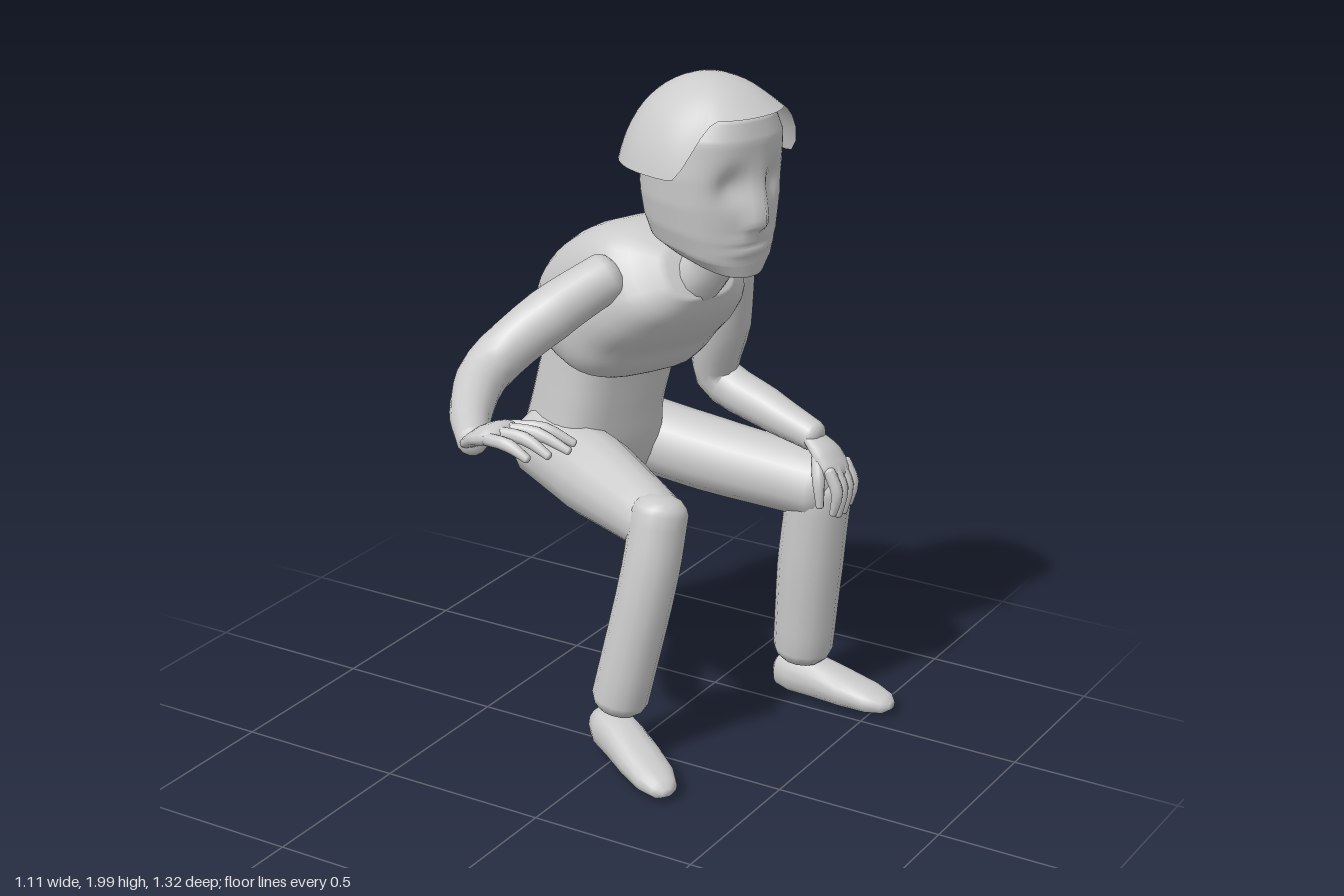
import * as THREE from 'three';

const V = (x, y, z) => new THREE.Vector3(x, y, z);
const material = new THREE.MeshStandardMaterial({ color: 0xcccccc });
const openMaterial = new THREE.MeshStandardMaterial({ color: 0xcccccc, side: THREE.DoubleSide });

// Skin over closed rings (counterclockwise about the direction of travel), optionally capped
function loft(name, rings, { capStart = true, capEnd = true, mat = material } = {}) {
  const n = rings[0].length, pos = [], idx = [];
  rings.forEach(r => r.forEach(p => pos.push(p.x, p.y, p.z)));
  for (let i = 0; i < rings.length - 1; i++) {
    for (let j = 0; j < n; j++) {
      const a = i * n + j, b = i * n + (j + 1) % n;
      idx.push(a, b, b + n, a, b + n, a + n);
    }
  }
  const cap = (row, flip) => {
    const c = rings[row].reduce((s, p) => s.add(p), V(0, 0, 0)).divideScalar(n);
    const k = pos.length / 3;
    pos.push(c.x, c.y, c.z);
    for (let j = 0; j < n; j++) {
      const a = row * n + j, b = row * n + (j + 1) % n;
      idx.push(...(flip ? [k, b, a] : [k, a, b]));
    }
  };
  if (capStart) cap(0, true);
  if (capEnd) cap(rings.length - 1, false);
  const g = new THREE.BufferGeometry();
  g.setAttribute('position', new THREE.Float32BufferAttribute(pos, 3));
  g.setIndex(idx);
  g.computeVertexNormals();
  const mesh = new THREE.Mesh(g, mat);
  mesh.name = name;
  return mesh;
}

// Round-ended limb through [x, y, z, radius] stations; flat squashes it along "up"
function limb(name, pts, { up = V(0, 0, 1), flat = 1, sides = 14, steps = 4 } = {}) {
  const curve = new THREE.CatmullRomCurve3(pts.map(p => V(p[0], p[1], p[2])));
  const last = pts.length - 1, total = last * steps, rings = [];
  const ring = (t, offset, scale) => {
    const i = Math.min(Math.floor(t * last), last - 1);
    const r = THREE.MathUtils.lerp(pts[i][3], pts[i + 1][3], t * last - i);
    const dir = curve.getTangent(t);
    const side = up.clone().cross(dir).normalize(), nrm = dir.clone().cross(side);
    const c = curve.getPoint(t).addScaledVector(dir, offset * r);
    rings.push(Array.from({ length: sides }, (_, j) => {
      const a = j / sides * Math.PI * 2;
      return c.clone().addScaledVector(side, Math.cos(a) * r * scale)
        .addScaledVector(nrm, Math.sin(a) * r * scale * flat);
    }));
  };
  const ends = [[0.55, 0.4], [0.42, 0.72], [0.22, 0.91]];
  ends.forEach(([o, s]) => ring(0, -o, s));
  for (let i = 0; i <= total; i++) ring(i / total, 0, 1);
  ends.reverse().forEach(([o, s]) => ring(1, o, s));
  return loft(name, rings);
}

const spow = (v, e) => Math.sign(v) * Math.abs(v) ** e;

// Body section stations: [x, y, z, half width, half depth, forward tilt in degrees]
function trunk(name, stations, yaw = 0.47, sides = 28) {
  const right = V(-Math.sin(yaw), 0, Math.cos(yaw));
  const curve = k => {
    const i = Math.min(Math.floor(k), stations.length - 2), f = k - i;
    const at = j => stations[Math.max(0, Math.min(stations.length - 1, j))];
    return stations[0].map((_, c) => {
      const [p, q, r, s] = [at(i - 1)[c], at(i)[c], at(i + 1)[c], at(i + 2)[c]];
      return q + 0.5 * f * (r - p + f * (2 * p - 5 * q + 4 * r - s + f * (3 * (q - r) + s - p)));
    });
  };
  const rings = [], rows = (stations.length - 1) * 4;
  for (let i = 0; i <= rows; i++) {
    const [x, y, z, w, d, tilt] = curve(i / 4), t = tilt * Math.PI / 180;
    const fwd = V(Math.cos(yaw) * Math.cos(t), -Math.sin(t), Math.sin(yaw) * Math.cos(t));
    rings.push(Array.from({ length: sides }, (_, j) => {
      const a = j / sides * Math.PI * 2;
      return V(x, y, z).addScaledVector(right, w * spow(Math.cos(a), 0.66))
        .addScaledVector(fwd, d * spow(Math.sin(a), 0.66));
    }));
  }
  return loft(name, rings);
}

// Foot from heel to toe: stations are [fraction of length, mid height, half width, half height]
function foot(name, heel, toe, lift) {
  const stations = [[0, 0.065, 0.025, 0.03], [0.04, 0.067, 0.05, 0.05], [0.16, 0.07, 0.065, 0.063],
    [0.35, 0.068, 0.066, 0.062], [0.6, 0.054, 0.068, 0.05], [0.82, 0.044, 0.062, 0.039],
    [0.95, 0.039, 0.042, 0.028], [1, 0.037, 0.018, 0.012]];
  const dir = toe.clone().sub(heel).normalize(), side = V(0, 1, 0).cross(dir);
  return loft(name, stations.map(([f, h, w, t]) => Array.from({ length: 14 }, (_, j) => {
    const a = j / 14 * Math.PI * 2;
    const p = heel.clone().lerp(toe, f).addScaledVector(side, w * spow(Math.cos(a), 0.85));
    p.y = h + lift * (1 - f) + t * spow(Math.sin(a), 0.85);
    return p;
  })));
}

// Palm plus fingers; each finger is [base, middle, tip]
function hand(name, palm, fingers, up) {
  const g = new THREE.Group();
  g.name = name;
  g.add(limb('palm', palm, { up, flat: 0.42 }));
  fingers.forEach((f, i) => {
    const pts = f.map((p, k) => [...p, [0.018, 0.019, 0.012][k]]);
    g.add(limb(i === 4 ? 'thumb' : 'finger', pts, { up, sides: 8, steps: 3 }));
  });
  return g;
}

const bump = (v, centre, width) => Math.exp(-(((v - centre) / width) ** 2));

// Head in its own frame, face toward +z, heights in model units
function head() {
  // stations: [front height, back height, front reach, back reach, half width]
  const st = [[1.452, 1.54, 0.14, 0.05, 0.06], [1.46, 1.55, 0.172, 0.13, 0.11], [1.5, 1.57, 0.178, 0.162, 0.145],
    [1.57, 1.62, 0.182, 0.174, 0.166], [1.66, 1.68, 0.186, 0.178, 0.18], [1.75, 1.75, 0.19, 0.178, 0.185],
    [1.85, 1.85, 0.198, 0.165, 0.178], [1.91, 1.91, 0.186, 0.13, 0.15], [1.95, 1.95, 0.10, 0.07, 0.085]];
  const sides = 56, rows = 48, rings = [];
  for (let i = 0; i <= rows; i++) {
    const k = i / rows * (st.length - 1), s = Math.min(Math.floor(k), st.length - 2);
    const [yf, yb, f, b, w] = st[s].map((v, c) => THREE.MathUtils.lerp(v, st[s + 1][c], k - s));
    rings.push(Array.from({ length: sides }, (_, j) => {
      const a = j / sides * Math.PI * 2, c = Math.cos(a);
      const x = w * spow(Math.sin(a), 0.85), z = (c > 0 ? f : b) * spow(c, 0.8);
      const p = V(x, THREE.MathUtils.lerp(yb, yf, (c + 1) / 2), z);
      if (c > 0) {
        const y = p.y, ax = Math.abs(x);
        const ridge = y > 1.62 ? bump(y, 1.62, 0.11) : bump(y, 1.62, 0.025);
        p.z += 0.044 * bump(x, 0, 0.034) * ridge;                        // nose
        p.z -= 0.026 * bump(ax, 0.078, 0.042) * bump(y, 1.725, 0.05);    // eye sockets
        p.z += 0.012 * bump(x, 0, 0.07) * (bump(y, 1.572, 0.012) + bump(y, 1.538, 0.012)); // lips
      }
      return p;
    }));
  }
  return loft('head', rings);
}

// Thin hair shell: a dome cut high over the brow, flaring low around the sides and back
function hair() {
  const sides = 56, rows = 14, rings = [];
  for (let i = 0; i <= rows; i++) {
    rings.push(Array.from({ length: sides }, (_, j) => {
      const a = j / sides * Math.PI * 2, away = (1 - Math.cos(a)) / 2;
      const cut = THREE.MathUtils.lerp(0.85, Math.PI / 2, THREE.MathUtils.smoothstep(away, 0.1, 0.36));
      const e = cut * (1 - i / rows * 0.985);
      const reach = THREE.MathUtils.lerp(0.265, 0.25, THREE.MathUtils.smoothstep(away, 0, 0.4));
      const r = reach * (0.93 * Math.sin(e) + 0.07 * (e / cut) ** 5);
      return V(0.94 * r * spow(Math.sin(a), 0.9), 1.755 + 0.245 * Math.cos(e), r * spow(Math.cos(a), 0.9));
    }));
  }
  return loft('hair', rings, { capStart: false, mat: openMaterial });
}

export function createModel() {
  const model = new THREE.Group();
  model.name = 'seatedFigure';

  // Trunk
  model.add(trunk('hipsAndWaist', [[-0.35, 0.68, -0.38, 0.08, 0.07, 0], [-0.36, 0.71, -0.38, 0.16, 0.14, 0],
    [-0.355, 0.8, -0.37, 0.19, 0.17, 0], [-0.33, 0.92, -0.36, 0.18, 0.165, 3], [-0.3, 1.04, -0.36, 0.18, 0.16, 6],
    [-0.27, 1.14, -0.35, 0.175, 0.15, 10]]));
  model.add(trunk('chest', [[-0.26, 1.09, -0.355, 0.16, 0.13, 10], [-0.26, 1.105, -0.355, 0.205, 0.185, 12],
    [-0.24, 1.17, -0.345, 0.235, 0.215, 18], [-0.185, 1.27, -0.325, 0.25, 0.22, 30], [-0.075, 1.365, -0.275, 0.235, 0.2, 44],
    [0.025, 1.415, -0.235, 0.195, 0.15, 54], [0.1, 1.425, -0.215, 0.1, 0.075, 60]]));
  model.add(limb('neck', [[0.08, 1.4, -0.23, 0.08], [0.135, 1.46, -0.215, 0.068], [0.165, 1.55, -0.2, 0.068]]));

  // Head, turned a little to the side of the outstretched arm
  const headGroup = new THREE.Group();
  headGroup.name = 'headGroup';
  headGroup.add(head(), hair());
  headGroup.position.set(0.135, 0, -0.2);
  headGroup.rotation.y = Math.PI / 2 - 0.29;
  model.add(headGroup);

  // Legs
  model.add(limb('rightThigh', [[-0.45, 0.785, -0.27, 0.118], [-0.2, 0.763, -0.15, 0.124], [0.08, 0.735, -0.01, 0.092]]));
  model.add(limb('rightShin', [[0.1, 0.775, 0.0, 0.083], [0.09, 0.6, 0.035, 0.083], [0.012, 0.2, 0.07, 0.083]]));
  model.add(foot('rightFoot', V(-0.075, 0, 0.035), V(0.27, 0, 0.235), 0.028));
  model.add(limb('leftThigh', [[-0.39, 0.785, -0.51, 0.115], [-0.05, 0.74, -0.53, 0.114], [0.32, 0.715, -0.54, 0.103]]));
  model.add(limb('leftShin', [[0.318, 0.71, -0.55, 0.096], [0.287, 0.45, -0.56, 0.098], [0.262, 0.17, -0.573, 0.09]]));
  model.add(foot('leftFoot', V(0.165, 0, -0.59), V(0.56, 0, -0.585), 0));

  // Right arm reaching out to the side
  const y = V(0, 1, 0);
  model.add(limb('rightArm', [[-0.12, 1.41, -0.07, 0.072], [-0.22, 1.32, 0.07, 0.08], [-0.32, 1.19, 0.23, 0.073],
    [-0.245, 1.14, 0.42, 0.06], [-0.145, 1.125, 0.56, 0.044]], { up: y }));
  model.add(hand('rightHand', [[-0.14, 1.13, 0.565, 0.045], [-0.09, 1.16, 0.575, 0.065], [-0.055, 1.172, 0.578, 0.072]], [
    [[-0.05, 1.175, 0.525], [0.04, 1.175, 0.495], [0.115, 1.14, 0.467]],
    [[-0.05, 1.18, 0.56], [0.05, 1.18, 0.545], [0.14, 1.145, 0.532]],
    [[-0.05, 1.18, 0.595], [0.04, 1.18, 0.592], [0.115, 1.145, 0.59]],
    [[-0.05, 1.172, 0.63], [0.02, 1.172, 0.638], [0.08, 1.145, 0.638]],
    [[-0.1, 1.15, 0.53], [-0.05, 1.14, 0.475], [0.015, 1.125, 0.44]],
  ], y));

  // Left arm resting on the knee
  model.add(limb('leftArm', [[0.055, 1.37, -0.465, 0.072], [0.01, 1.17, -0.52, 0.076], [-0.045, 0.98, -0.575, 0.07],
    [0.13, 0.91, -0.56, 0.062], [0.3, 0.865, -0.535, 0.046]]));
  model.add(hand('leftHand', [[0.3, 0.86, -0.535, 0.047], [0.345, 0.825, -0.53, 0.065], [0.375, 0.785, -0.525, 0.07]],
    [-0.475, -0.508, -0.542, -0.575].map((z, i) => [[0.385, 0.79, z],
      [0.412, 0.73, z - 0.002], [0.4, [0.66, 0.645, 0.645, 0.66][i], z - 0.004]])
      .concat([[[0.34, 0.82, -0.485], [0.365, 0.765, -0.45], [0.375, 0.69, -0.443]]]),
    V(0.75, 0.66, 0)));

  return model;
}
